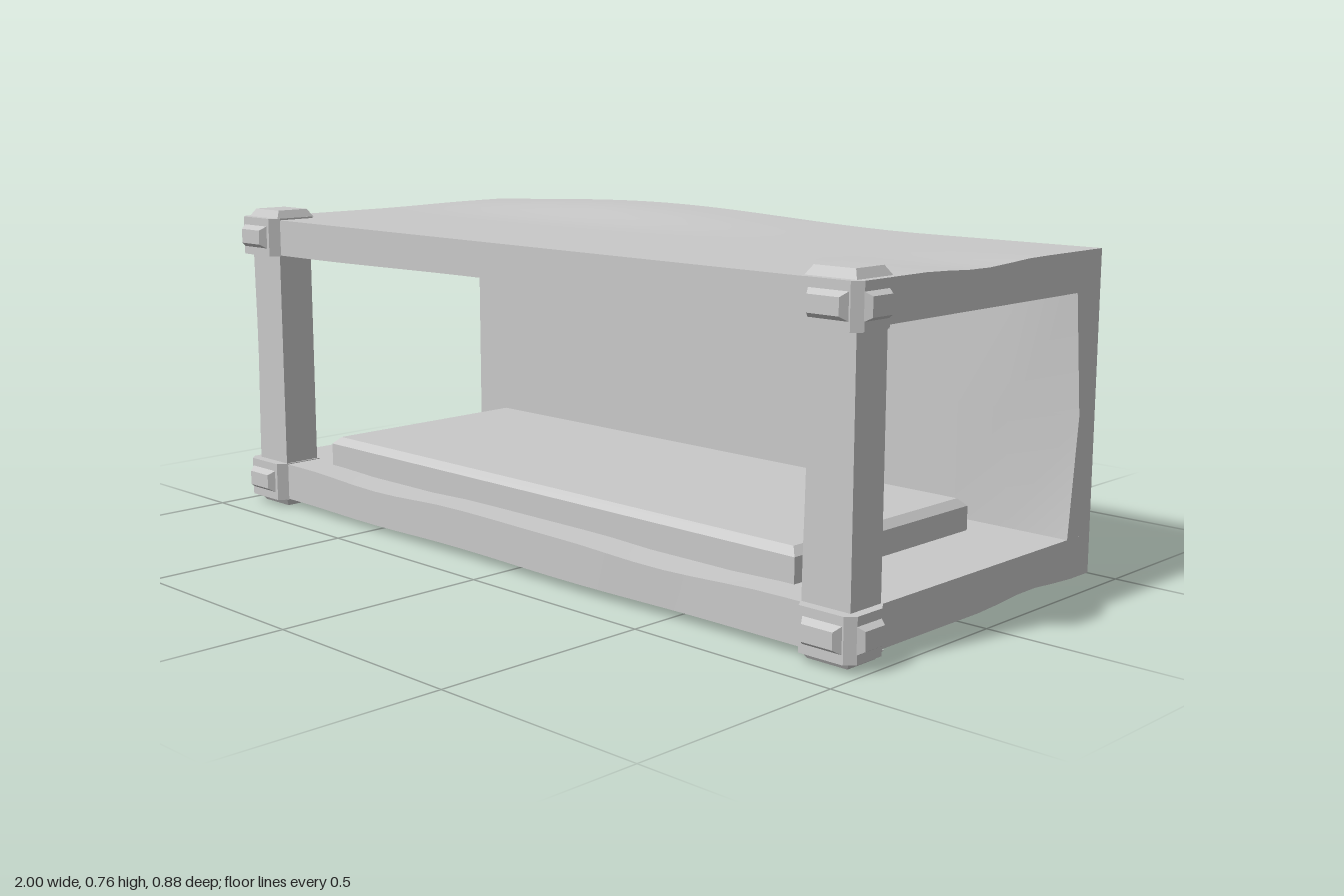
import * as THREE from 'three';
import { toCreasedNormals } from 'three/addons/utils/BufferGeometryUtils.js';

const grey = new THREE.MeshStandardMaterial({ color: 0xc8c8c8 });
grey.name = 'pale stone grey';

// Smooth hump of height 1 at centre c, falling to 0 at distance r
const hump = (v, c, r) => {
  const t = Math.min(1, Math.abs(v - c) / r);
  return 0.5 + 0.5 * Math.cos(Math.PI * t);
};

function add(parent, name, geometry) {
  const mesh = new THREE.Mesh(geometry, grey);
  mesh.name = name;
  parent.add(mesh);
  return mesh;
}

// Box given by its min and max corners, with vertices moved by a rule
function wornBox(min, max, segments, rule) {
  const size = max.map((m, i) => m - min[i]);
  const g = new THREE.BoxGeometry(...size, ...segments);
  g.translate(...min.map((m, i) => (m + max[i]) / 2));
  const p = g.attributes.position, v = new THREE.Vector3();
  for (let i = 0; i < p.count; i++) {
    v.fromBufferAttribute(p, i);
    rule(v);
    p.setXYZ(i, v.x, v.y, v.z);
  }
  return toCreasedNormals(g, 0.5);
}

// Plate rising from y = 0 whose top face is smaller than its base
function bevelPlate(w, d, h, inset) {
  const g = new THREE.BoxGeometry(w, h, d).translate(0, h / 2, 0);
  const p = g.attributes.position;
  for (let i = 0; i < p.count; i++) {
    if (p.getY(i) > h / 2) {
      p.setX(i, p.getX(i) - Math.sign(p.getX(i)) * inset);
      p.setZ(i, p.getZ(i) - Math.sign(p.getZ(i)) * inset);
    }
  }
  return toCreasedNormals(g, 0.1);
}

// Angular bracket wrapped around one front corner
function cornerBracket(side, upper) {
  const group = new THREE.Group();
  group.name = (upper ? 'upper' : 'lower') + (side > 0 ? 'Left' : 'Right') + 'Bracket';
  const y0 = upper ? 0.643 : 0.018, h = 0.094, mid = y0 + h / 2;
  const outline = [[0.845, 0.4], [0.86, 0.424], [0.968, 0.424], [0.986, 0.405],
    [0.986, 0.33], [0.966, 0.302], [0.845, 0.302]];
  const shape = new THREE.Shape(outline.map(([x, z]) => new THREE.Vector2(side * x, -z)));
  const collar = new THREE.ExtrudeGeometry(shape, { depth: h, bevelEnabled: false });
  add(group, 'collar', collar.rotateX(-Math.PI / 2).translate(0, y0, 0));

  const front = add(group, 'frontStud', bevelPlate(0.095, 0.055, 0.016, 0.01));
  front.rotation.x = Math.PI / 2;
  front.position.set(side * 0.917, mid, 0.424);

  const outer = add(group, 'sideStud', bevelPlate(0.055, 0.075, 0.014, 0.008));
  outer.rotation.z = -side * Math.PI / 2;
  outer.position.set(side * 0.986, mid, 0.369);

  const cap = add(group, 'capPlate', bevelPlate(0.122, 0.108, 0.019, 0.012));
  cap.rotation.x = upper ? 0 : Math.PI;
  cap.position.set(side * 0.907, upper ? y0 + h : y0 + 0.001, 0.352);
  return group;
}

export function createModel() {
  const model = new THREE.Group();
  model.name = 'openBunk';

  // Base slab with a chipped front rim and underside edge
  add(model, 'baseSlab', wornBox([-0.965, 0.02, -0.44], [0.965, 0.11, 0.4], [24, 1, 12], v => {
    const front = hump(v.z, 0.4, 0.25), end = hump(v.x, 0.965, 0.15);
    if (v.y > 0.1) {
      v.y -= 0.01 * front * (hump(v.x, -0.48, 0.3) + hump(v.x, 0.48, 0.3));
    } else {
      v.y += 0.01 * end * hump(v.z, -0.2, 0.18) - 0.004 * front * hump(v.x, -0.5, 0.3);
    }
    if (v.z > 0.39) v.z += 0.01 * hump(v.x, 0.22, 0.4);
  }));

  // Top slab swelling upwards towards the back
  add(model, 'topSlab', wornBox([-0.965, 0.645, -0.44], [0.965, 0.733, 0.4], [24, 1, 12], v => {
    const front = hump(v.z, 0.4, 0.25);
    if (v.y > 0.7) {
      const back = THREE.MathUtils.smoothstep(-v.z, 0, 0.33);
      v.y += 0.027 * back * hump(v.x, -0.33, 0.85) - 0.008 * hump(v.z, 0, 0.2) * hump(v.x, 0.965, 0.4);
    } else {
      v.y += 0.008 * front * hump(v.x, 0, 0.8);
    }
  }));

  // Back wall, worn thinner at the middle of one end
  add(model, 'backWall', wornBox([-0.965, 0.11, -0.44], [0.965, 0.645, -0.35], [12, 2, 1], v => {
    if (v.z > -0.4 && v.x > 0.9 && v.y > 0.2 && v.y < 0.6) v.z -= 0.028;
  }));

  // Front posts with slightly uneven edges
  for (const side of [1, -1]) {
    const xs = [side * 0.85, side * 0.965].sort((a, b) => a - b);
    add(model, side > 0 ? 'leftPost' : 'rightPost',
      wornBox([xs[0], 0.11, 0.307], [xs[1], 0.645, 0.4], [1, 6, 1], v => {
        const bend = hump(v.y, 0.4, 0.28);
        if (side > 0 && v.x < 0.9) v.x += 0.006 * (bend - 0.5);
        if (side < 0 && v.x < -0.9) v.x += 0.005 * bend;
      }));
  }

  // Mattress: straight sides below a chamfered top
  const mattress = new THREE.Group();
  mattress.name = 'mattress';
  add(mattress, 'mattressBody', new THREE.BoxGeometry(1.525, 0.06, 0.59).translate(0, 0.135, 0.025));
  add(mattress, 'mattressTop', bevelPlate(1.525, 0.59, 0.017, 0.017).translate(0, 0.165, 0.025));
  model.add(mattress);

  // Brackets on the four front corners
  for (const side of [1, -1]) {
    for (const upper of [true, false]) model.add(cornerBracket(side, upper));
  }
  return model;
}
